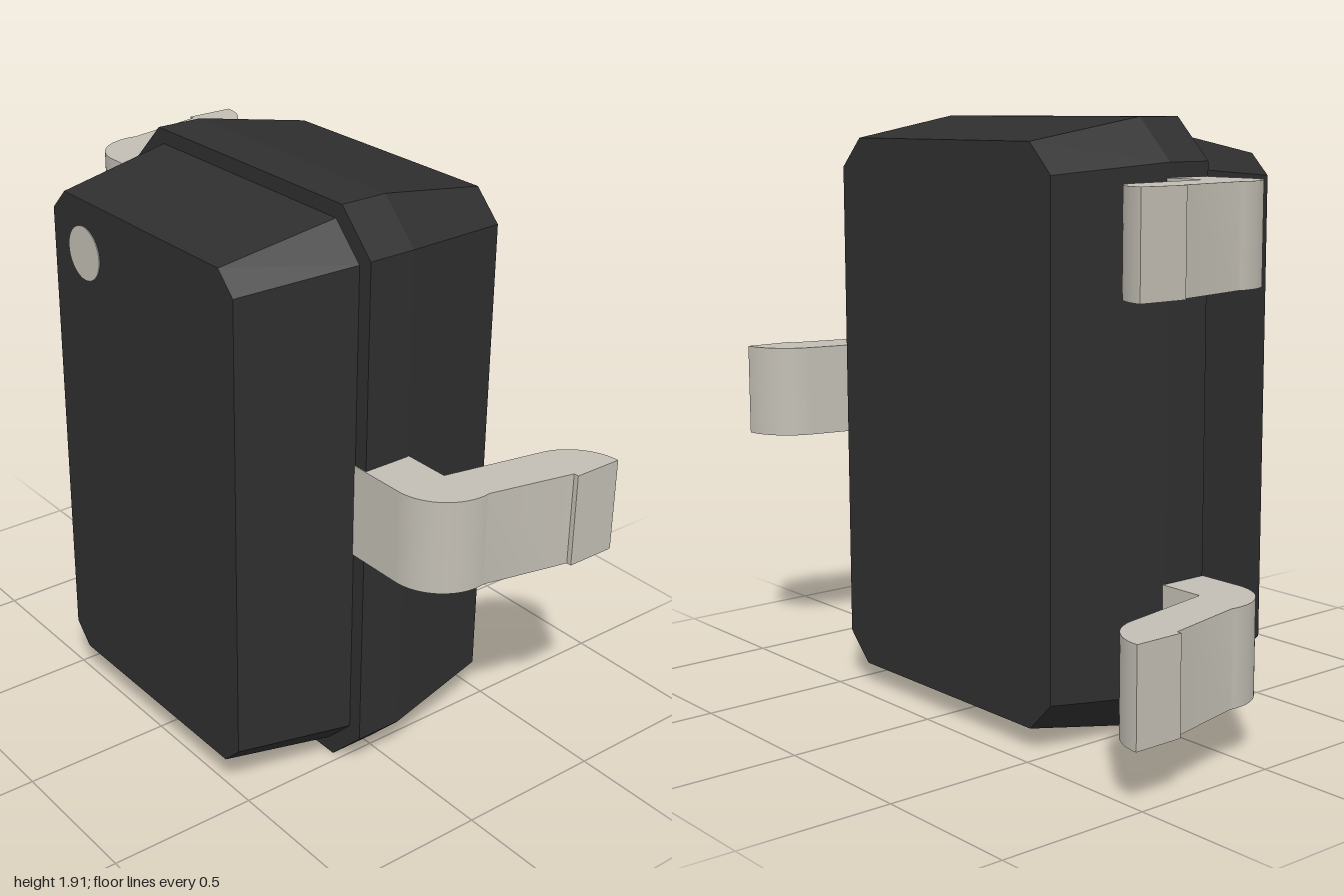
import * as THREE from 'three';
import { toCreasedNormals } from 'three/addons/utils/BufferGeometryUtils.js';

const MID_Y = 0.953;

// Chamfered rectangle, counter-clockwise seen from +z
function octagon({ z, w, h, c }) {
  return [
    [w, -h + c], [w, h - c], [w - c, h], [-w + c, h],
    [-w, h - c], [-w, -h + c], [-w + c, -h], [w - c, -h],
  ].map(([x, y]) => [x, y, z]);
}

// Flat-faced loft through sections ordered from back to front, capped at both ends
function loft(sections) {
  const rings = sections.map(octagon);
  const pos = [];
  const tri = (a, b, c) => pos.push(...a, ...b, ...c);
  for (let s = 0; s < rings.length - 1; s++) {
    const a = rings[s], b = rings[s + 1];
    for (let i = 0; i < 8; i++) {
      const j = (i + 1) % 8;
      tri(a[i], a[j], b[j]);
      tri(a[i], b[j], b[i]);
    }
  }
  const back = rings[0], front = rings[rings.length - 1];
  for (let i = 1; i < 7; i++) {
    tri(front[0], front[i], front[i + 1]);
    tri(back[0], back[i + 1], back[i]);
  }
  const geo = new THREE.BufferGeometry();
  geo.setAttribute('position', new THREE.Float32BufferAttribute(pos, 3));
  geo.computeVertexNormals();
  return geo;
}

// Bent metal strip for the +x side; shape is drawn in (x, -z)
function leadGeometry(height) {
  const tilt = THREE.MathUtils.degToRad(10);
  const s = new THREE.Shape();
  s.moveTo(0.5, -0.133);
  s.lineTo(0.75, -0.133);
  s.absarc(0.75, 0.04, 0.173, -Math.PI / 2, tilt, false);
  s.lineTo(0.983, 0.355);
  s.lineTo(1.0, 0.355);
  s.lineTo(1.0, 0.525);
  s.absarc(1.0, 0.345, 0.18, Math.PI / 2, Math.PI - tilt, false);
  s.lineTo(0.757, 0.04);
  s.lineTo(0.5, 0.04);
  s.closePath();
  const geo = new THREE.ExtrudeGeometry(s, { depth: height, bevelEnabled: false, curveSegments: 14 });
  geo.translate(0, 0, -height / 2);
  geo.rotateX(-Math.PI / 2);
  return toCreasedNormals(geo, 0.4);
}

export function createModel() {
  const plastic = new THREE.MeshStandardMaterial({ color: 0x2f2f2f });
  plastic.name = 'black plastic';
  const metal = new THREE.MeshStandardMaterial({ color: 0xc2beb4 });
  metal.name = 'tinned metal';

  const model = new THREE.Group();
  model.name = 'surfaceMountPackage';
  const add = (name, geo, mat, x, y, z) => {
    const mesh = new THREE.Mesh(geo, mat);
    mesh.name = name;
    mesh.position.set(x, y, z);
    model.add(mesh);
    return mesh;
  };

  // Moulded body: tapered back, straight rim, step, tapered front
  add('body', loft([
    { z: -0.43, w: 0.525, h: 0.883, c: 0.095 },
    { z: -0.03, w: 0.6, h: 0.953, c: 0.133 },
    { z: 0.13, w: 0.6, h: 0.953, c: 0.133 },
    { z: 0.13, w: 0.55, h: 0.905, c: 0.11 },
    { z: 0.523, w: 0.48, h: 0.835, c: 0.07 },
  ]), plastic, 0, MID_Y, 0);

  // Leads: one on the left, two on the right, turned about z
  const lead = leadGeometry(0.308);
  add('leftLead', lead, metal, 0, MID_Y, 0);
  add('upperRightLead', lead, metal, 0, 1.573, 0).rotation.z = Math.PI;
  add('lowerRightLead', lead, metal, 0, 0.333, 0).rotation.z = Math.PI;

  // Pin-one marker on the front face
  const dot = new THREE.CylinderGeometry(0.088, 0.088, 0.004, 40);
  dot.rotateX(Math.PI / 2);
  add('pinMarker', dot, metal, -0.305, 1.615, 0.524);

  return model;
}
